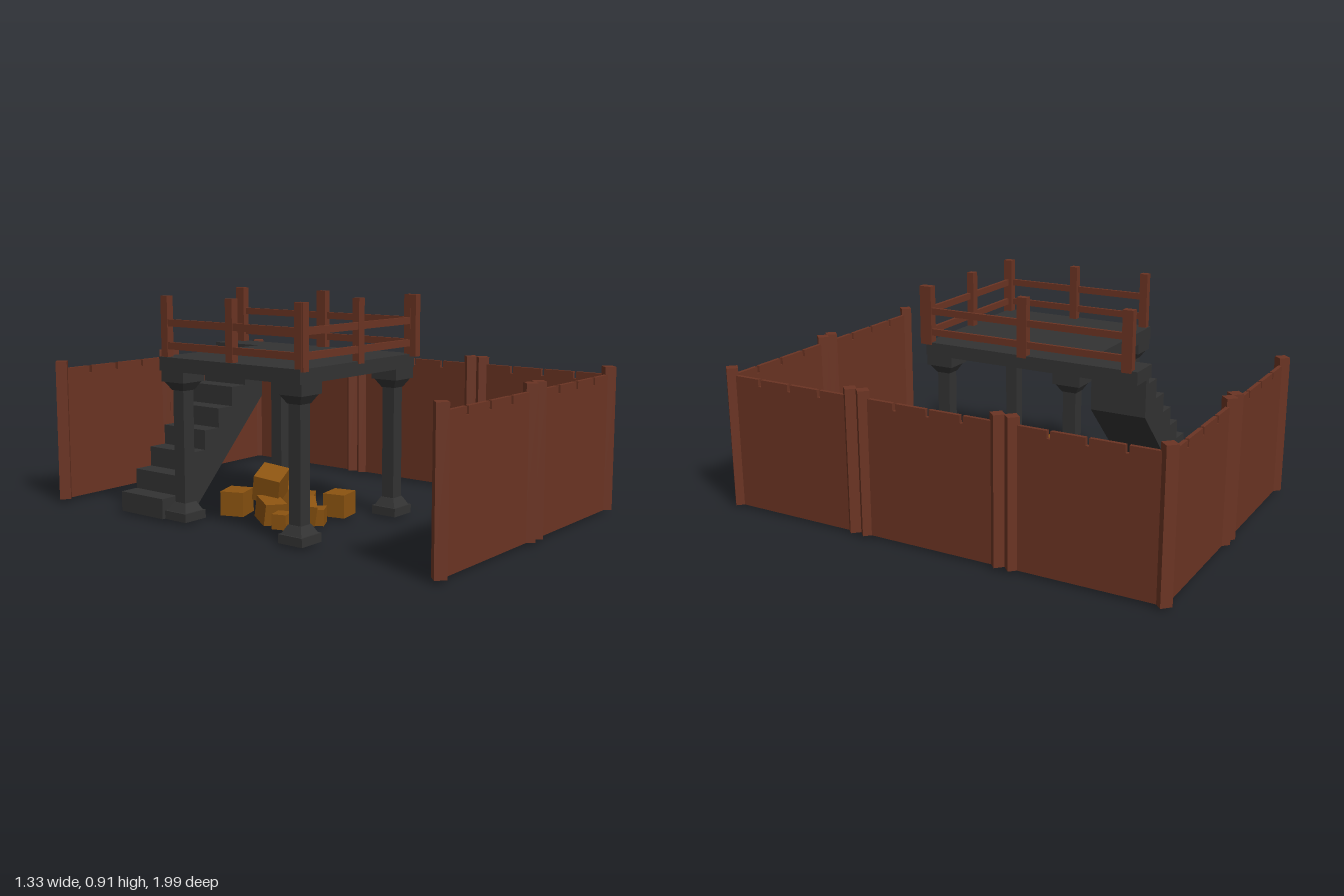
import * as THREE from 'three';

const wood = new THREE.MeshStandardMaterial({ color: 0x6b3423, flatShading: true });
const stone = new THREE.MeshStandardMaterial({ color: 0x333333, flatShading: true });
const crateWood = new THREE.MeshStandardMaterial({ color: 0x8b5310, flatShading: true });

function add(parent, name, geometry, material, x = 0, y = 0, z = 0) {
  const mesh = new THREE.Mesh(geometry, material);
  mesh.name = name;
  mesh.position.set(x, y, z);
  parent.add(mesh);
  return mesh;
}

function box(parent, name, material, w, h, d, x, y, z) {
  return add(parent, name, new THREE.BoxGeometry(w, h, d), material, x, y, z);
}

function extrude(points, depth) {
  const shape = new THREE.Shape(points.map(([x, y]) => new THREE.Vector2(x, y)));
  return new THREE.ExtrudeGeometry(shape, { depth, bevelEnabled: false });
}

// Square prism that may taper from bottom to top; sizes are side lengths
function taper(bottom, top, height) {
  return new THREE.CylinderGeometry(top * Math.SQRT1_2, bottom * Math.SQRT1_2, height, 4).rotateY(Math.PI / 4);
}

// Fence section: a notched board wall between two diamond posts
function fenceSection(x1, z1, x2, z2) {
  const group = new THREE.Group();
  group.name = 'fenceSection';
  const length = Math.hypot(x2 - x1, z2 - z1);
  const points = [[-length / 2, 0], [length / 2, 0], [length / 2, 0.568]];
  for (const f of [0.25, 0, -0.25]) {
    const x = f * length, n = 0.007;
    points.push([x + n, 0.568], [x + n, 0.538], [x - n, 0.538], [x - n, 0.568]);
  }
  points.push([-length / 2, 0.568]);
  add(group, 'fenceBoards', extrude(points, 0.016), wood, 0, 0, -0.008);
  for (const s of [-1, 1]) {
    box(group, 'fencePost', wood, 0.047, 0.6, 0.047, s * length / 2, 0.3, 0).rotation.y = Math.PI / 4;
  }
  group.position.set((x1 + x2) / 2, 0, (z1 + z2) / 2);
  group.rotation.y = -Math.atan2(z2 - z1, x2 - x1);
  return group;
}

// Railing: three posts and two rails, running along local x
function railing(length, postWidth, x, z, angle) {
  const group = new THREE.Group();
  group.name = 'railing';
  for (const s of [-1, 0, 1]) {
    box(group, 'railingPost', wood, postWidth, 0.25, 0.032, s * length / 2, 0.775, 0);
  }
  for (const y of [0.705, 0.795]) {
    box(group, 'rail', wood, length, 0.028, 0.014, 0, y, 0.006);
  }
  group.position.set(x, 0, z);
  group.rotation.y = angle;
  return group;
}

function column(x, z) {
  const group = new THREE.Group();
  group.name = 'column';
  box(group, 'columnShaft', stone, 0.056, 0.59, 0.056, 0, 0.3, 0);
  box(group, 'columnBase', stone, 0.115, 0.035, 0.115, 0, 0.0175, 0);
  add(group, 'baseTaper', taper(0.1, 0.062, 0.035), stone, 0, 0.0525, 0);
  box(group, 'columnCapital', stone, 0.12, 0.045, 0.12, 0, 0.5825, 0);
  add(group, 'capitalTaper', taper(0.062, 0.105, 0.035), stone, 0, 0.5425, 0);
  group.position.set(x, 0, z);
  return group;
}

// Stairs: stepped top, sloping underside
function stairs() {
  const steps = 7, run = 0.584 / steps, rise = 0.66 / (steps + 1);
  const points = [[-0.46, 0], [-0.03, 0.44], [-0.03, 0.606], [-0.056, 0.606]];
  for (let i = 0; i < steps; i++) {
    const y = (steps - i) * rise;
    points.push([-0.056 - i * run, y], [-0.056 - (i + 1) * run, y]);
  }
  points.push([-0.64, 0]);
  const geometry = extrude(points, 0.24);
  const mesh = new THREE.Mesh(geometry, stone);
  mesh.name = 'stairs';
  mesh.position.z = -0.6;
  return mesh;
}

export function createModel() {
  const model = new THREE.Group();
  model.name = 'walledPlatform';

  // Fence on three sides
  const side = 0.63, back = -0.967, front = 0.96;
  for (const z of [back, front]) {
    model.add(fenceSection(-0.635, z, -0.03, z), fenceSection(0.03, z, side, z));
  }
  for (const [a, b] of [[back, -0.36], [-0.3, 0.3], [0.36, front]]) {
    model.add(fenceSection(side, a, side, b));
  }

  // Raised deck with a landing for the stairs
  const deck = extrude([[-0.64, -0.362], [0.085, -0.362], [0.085, 0.61], [-0.056, 0.61], [-0.056, 0.36], [-0.64, 0.36]], 0.055);
  add(model, 'deck', deck.rotateX(-Math.PI / 2), stone, 0, 0.605, 0);
  model.add(stairs());
  for (const x of [-0.57, 0.022]) for (const z of [-0.3, 0.3]) model.add(column(x, z));

  // Railings
  model.add(railing(0.69, 0.035, -0.275, 0.35, 0));
  model.add(railing(0.69, 0.035, -0.619, 0.011, -Math.PI / 2));
  model.add(railing(0.93, 0.045, 0.07, -0.098, Math.PI / 2));

  // Heap of crates: x, y, z, size, turn, tilt
  const crates = [
    [-0.46, 0.035, 0.12, 0.06, 0.3, 0],
    [-0.36, 0.06, 0.15, 0.085, 0.8, 0.15],
    [-0.316, 0.035, 0.18, 0.065, 0.5, 0],
    [-0.143, 0.05, 0.157, 0.095, 0.2, 0],
    [-0.39, 0.045, 0.0, 0.09, 1.1, 0.1],
    [-0.375, 0.05, -0.196, 0.1, 0.35, 0],
    [-0.22, 0.06, -0.1, 0.1, 0.9, 0.1],
    [-0.1, 0.04, -0.2, 0.075, 0.1, 0],
    [-0.24, 0.05, 0.05, 0.09, 0.6, 0],
    [-0.33, 0.135, -0.05, 0.11, 0.4, 0.2],
  ];
  for (const [x, y, z, size, turn, tilt] of crates) {
    box(model, 'crate', crateWood, size * 1.15, size, size, x, y, z).rotation.set(tilt, turn, tilt);
  }
  return model;
}
